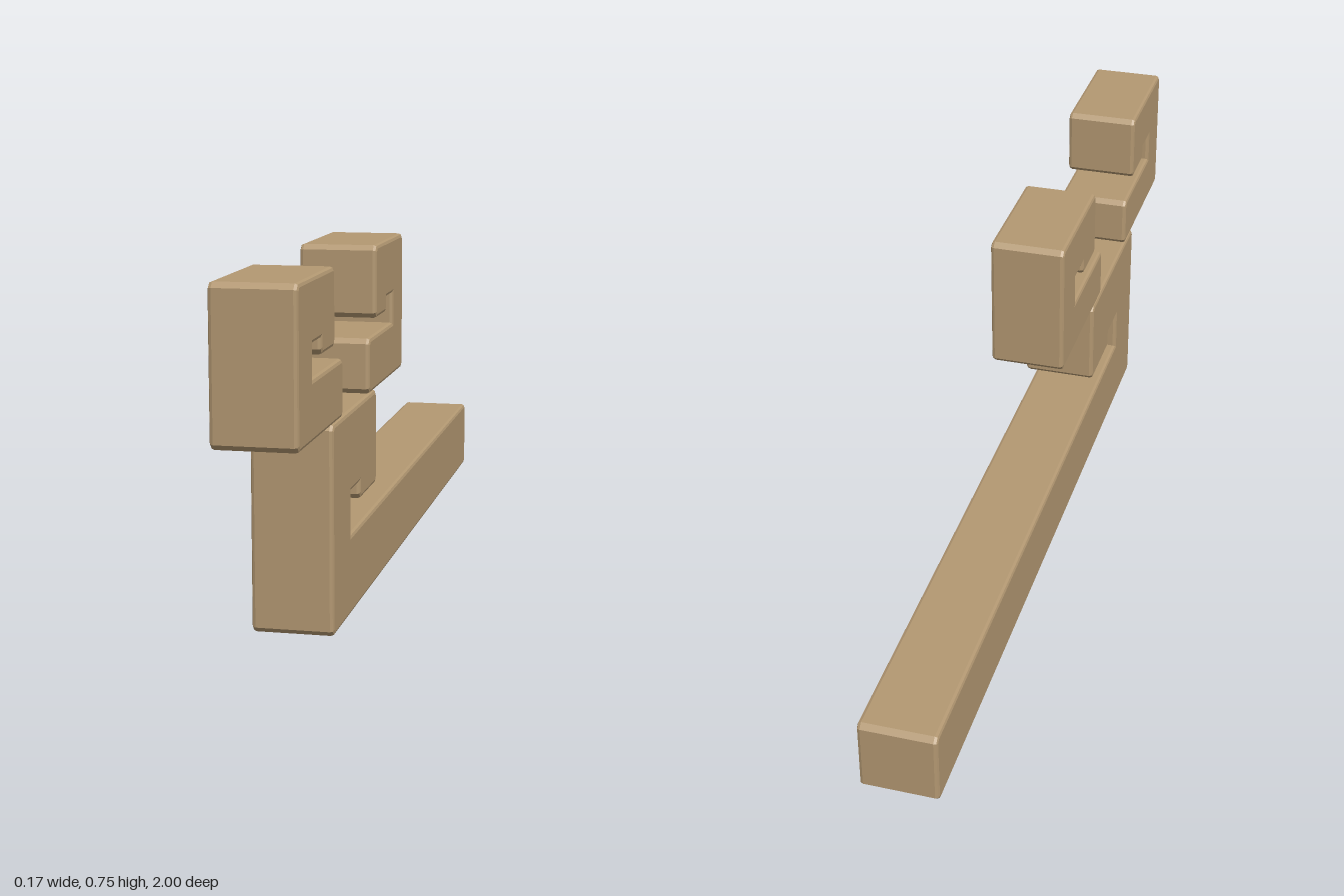
import * as THREE from 'three';

const WIDTH = 0.172;
const BEVEL = 0.008;
const CHAMFER = 0.011;

// Side profile [z, y], anticlockwise, with its outward corners cut off
function chamferedShape(points) {
  const pts = points.map(([x, y]) => new THREE.Vector2(x, y));
  const out = [];
  pts.forEach((p, i) => {
    const a = pts[(i + pts.length - 1) % pts.length].clone().sub(p).normalize();
    const b = pts[(i + 1) % pts.length].clone().sub(p).normalize();
    if (a.cross(b) < 0) {
      out.push(p.clone().addScaledVector(a, CHAMFER), p.clone().addScaledVector(b, CHAMFER));
    } else {
      out.push(p);
    }
  });
  return new THREE.Shape(out);
}

// Solid of constant width across x, with softened edges
function hook(name, points, material) {
  const geometry = new THREE.ExtrudeGeometry(chamferedShape(points), {
    depth: WIDTH - 2 * BEVEL,
    bevelEnabled: true,
    bevelThickness: BEVEL,
    bevelSize: BEVEL,
    bevelOffset: -BEVEL,
    bevelSegments: 2,
  });
  geometry.translate(0, 0, BEVEL - WIDTH / 2);
  geometry.rotateY(-Math.PI / 2);
  const mesh = new THREE.Mesh(geometry, material);
  mesh.name = name;
  return mesh;
}

export function createModel() {
  const group = new THREE.Group();
  group.name = 'hookedBranch';
  const wood = new THREE.MeshStandardMaterial({ color: 0xb39872 });
  wood.name = 'tan wood';

  // Long base bar that curls up and over at the front
  const base = [
    [-1, 0], [0.714, 0], [0.714, 0.438], [0.28, 0.438], [0.28, 0.228],
    [0.456, 0.228], [0.456, 0.266], [0.544, 0.266], [0.544, 0.172], [-1, 0.172],
  ];
  group.add(hook('baseHook', base, wood));

  // Two small hooks facing each other on top of the base
  const small = [
    [0.618, 0.439], [1, 0.439], [1, 0.755], [0.692, 0.755], [0.692, 0.595],
    [0.812, 0.595], [0.812, 0.628], [0.882, 0.628], [0.882, 0.56], [0.618, 0.56],
  ];
  const mirrored = small.map(([z, y]) => [0.978 - z, y]).reverse();
  group.add(hook('frontSmallHook', small, wood));
  group.add(hook('backSmallHook', mirrored, wood));

  return group;
}
